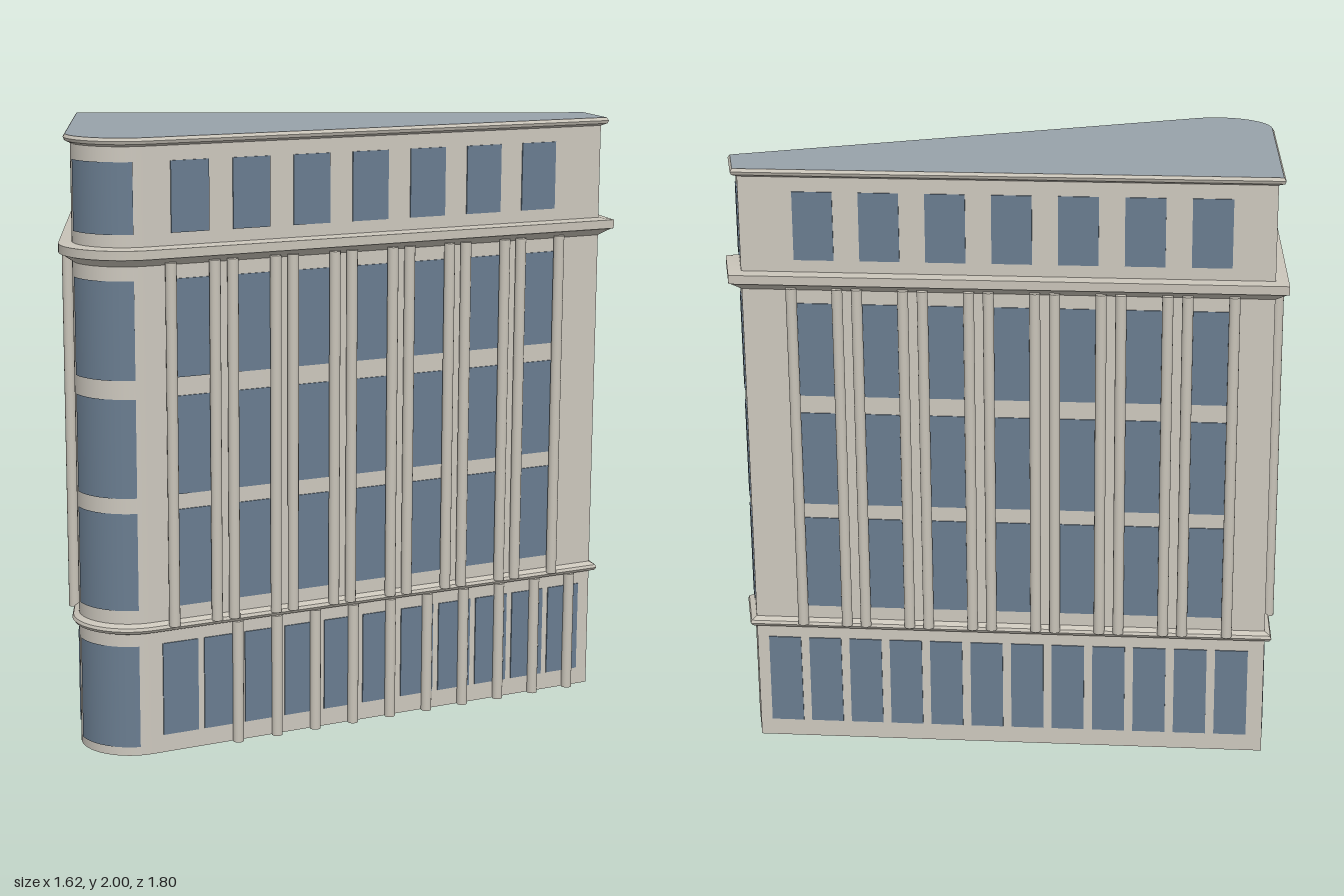
import * as THREE from 'three';
import { toCreasedNormals } from 'three/addons/utils/BufferGeometryUtils.js';

const wallMat = new THREE.MeshStandardMaterial({ color: 0xcdc8be });
wallMat.name = 'stone wall';
const trimMat = new THREE.MeshStandardMaterial({ color: 0xc9c4b9 });
trimMat.name = 'stone trim';
const glassMat = new THREE.MeshStandardMaterial({ color: 0x6a7d90 });
glassMat.name = 'window glass';
const roofMat = new THREE.MeshStandardMaterial({ color: 0x98a2aa });
roofMat.name = 'roof';

const rad = THREE.MathUtils.degToRad;

// Plan: three sharp corners and one rounded nose, as [x, z]
const leftCorner = [-0.751, 0.226], rightCorner = [0.757, -0.724], backCorner = [0.607, -0.842];
const nose = { x: -0.13, z: 0.695, r: 0.17, from: rad(-49.7), to: rad(63.8) };
const arc = [];
for (let i = 0; i <= 24; i++) {
  const t = nose.from + (nose.to - nose.from) * i / 24;
  arc.push([nose.x + nose.r * Math.sin(t), nose.z + nose.r * Math.cos(t)]);
}
const plan = [leftCorner, ...arc, rightCorner, backCorner];

// Outward mitred offset of the plan
function offsetPlan(d) {
  const n = plan.length;
  const normal = (p, q) => {
    const dx = q[0] - p[0], dz = q[1] - p[1], l = Math.hypot(dx, dz);
    return [-dz / l, dx / l];
  };
  return plan.map((p, i) => {
    const a = normal(plan[(i + n - 1) % n], p), b = normal(p, plan[(i + 1) % n]);
    const k = d / (1 + a[0] * b[0] + a[1] * b[1]);
    return [p[0] + (a[0] + b[0]) * k, p[1] + (a[1] + b[1]) * k];
  });
}

const planShape = d => new THREE.Shape(offsetPlan(d).map(([x, z]) => new THREE.Vector2(x, -z)));

function add(parent, name, geometry, material, x = 0, y = 0, z = 0) {
  const mesh = new THREE.Mesh(geometry, material);
  mesh.name = name;
  mesh.position.set(x, y, z);
  parent.add(mesh);
  return mesh;
}

// Moulding swept round the plan; profile points are [offset, y], bottom to top
function moulding(profile) {
  const rings = profile.map(([d, y]) => offsetPlan(d).map(([x, z]) => [x, y, z]));
  const pos = [], n = plan.length;
  for (let j = 0; j < rings.length - 1; j++) {
    for (let i = 0; i < n; i++) {
      const k = (i + 1) % n;
      const a = rings[j][i], b = rings[j][k], c = rings[j + 1][k], d = rings[j + 1][i];
      pos.push(...a, ...b, ...c, ...a, ...c, ...d);
    }
  }
  const g = new THREE.BufferGeometry();
  g.setAttribute('position', new THREE.Float32BufferAttribute(pos, 3));
  return toCreasedNormals(g, 0.4);
}

const ground = [0.06, 0.37];
const floors = [[0.49, 0.81], [0.86, 1.18], [1.24, 1.555]];
const attic = [1.70, 1.925];
const series = (start, step, count) => Array.from({ length: count }, (_, i) => start + step * i);

// One flat facade: local x runs along the wall, local z points outward
function facade(name, p, q, { bays, bayWidth, shops = [], shopWidth = 0.11, posts = [], paired = true }) {
  const g = new THREE.Group();
  g.name = name;
  g.position.set(p[0], 0, p[1]);
  g.rotation.y = Math.atan2(p[1] - q[1], q[0] - p[0]);
  const pane = (label, x, w, [y0, y1]) =>
    add(g, label, new THREE.BoxGeometry(w, y1 - y0, 0.008), glassMat, x, (y0 + y1) / 2, 0);
  const column = (label, x, y0, y1, z) =>
    add(g, label, new THREE.CylinderGeometry(0.018, 0.018, y1 - y0, 16), trimMat, x, (y0 + y1) / 2, z);
  for (const x of bays) {
    for (const f of floors) pane('floorWindow', x, bayWidth, f);
    pane('atticWindow', x, bayWidth, attic);
    if (paired) for (const s of [-1, 1]) column('bayColumn', x + s * 0.075, 0.43, 1.61, 0.02);
  }
  for (const x of shops) pane('groundWindow', x, shopWidth, ground);
  for (const x of posts) column('groundColumn', x, 0, 0.415, 0.01);
  return g;
}

export function createModel() {
  const model = new THREE.Group();
  model.name = 'cornerBuilding';

  // Main body
  const body = new THREE.ExtrudeGeometry(planShape(0), { depth: 1.99, bevelEnabled: false });
  body.rotateX(-Math.PI / 2);
  add(model, 'walls', toCreasedNormals(body, 0.4), wallMat);

  // Belt course, main cornice and roof edge
  add(model, 'beltCourse', moulding([[0, 0.41], [0.015, 0.415], [0.022, 0.425], [0.018, 0.435], [0, 0.445]]), trimMat);
  add(model, 'mainCornice', moulding([[0, 1.6], [0.035, 1.624], [0.043, 1.626], [0.043, 1.655], [0, 1.66]]), trimMat);
  add(model, 'roofEdge', moulding([[0, 1.972], [0.018, 1.98], [0.022, 1.99], [0.015, 2.0]]), trimMat);

  // Flat roof
  const roof = new THREE.ShapeGeometry(planShape(0.015));
  roof.rotateX(-Math.PI / 2);
  add(model, 'roof', roof, roofMat, 0, 2, 0);

  // Curved nose windows
  for (const [y0, y1] of [[0.03, 0.37], ...floors, attic]) {
    const r = nose.r + 0.004;
    add(model, 'noseWindow',
      new THREE.CylinderGeometry(r, r, y1 - y0, 20, 1, true, rad(-28), rad(78)),
      glassMat, nose.x, (y0 + y1) / 2, nose.z);
  }

  // Four flat facades
  const noseLeft = arc[0], noseRight = arc[arc.length - 1];
  model.add(
    facade('shortFacade', leftCorner, noseLeft, {
      bays: [0.254, 0.585], bayWidth: 0.13, shops: series(0.102, 0.147, 5),
    }),
    facade('longFacade', noseRight, rightCorner, {
      bays: series(0.149, 0.212, 7), bayWidth: 0.13,
      shops: series(0.101, 0.1457, 11), shopWidth: 0.124, posts: series(0.302, 0.1416, 10),
    }),
    facade('endFacade', rightCorner, backCorner, { bays: [0.1], bayWidth: 0.086, paired: false }),
    facade('backFacade', backCorner, leftCorner, {
      bays: series(0.24, 0.214, 7), bayWidth: 0.13, shops: series(0.095, 0.1385, 12),
    }),
  );
  return model;
}
